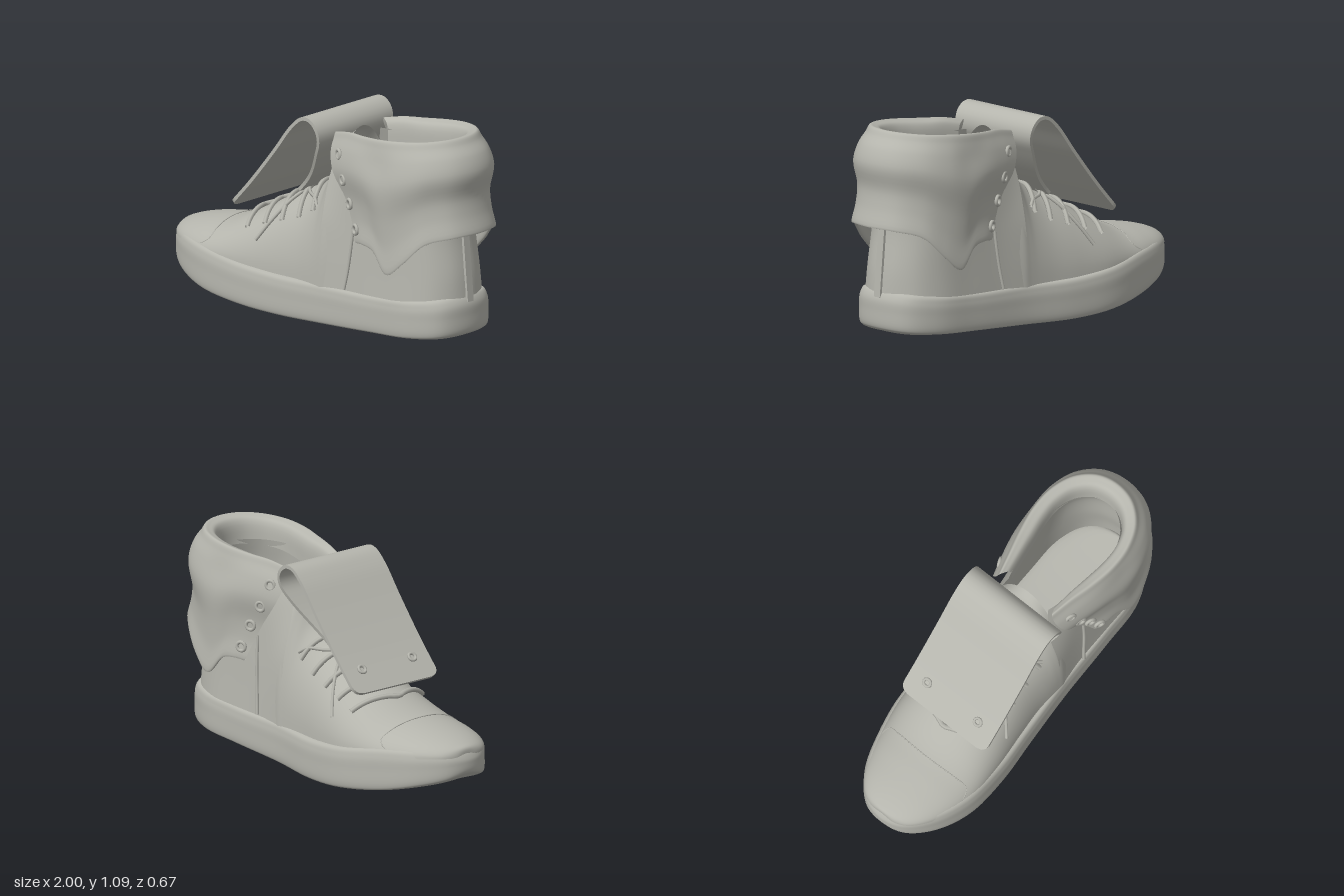
import * as THREE from 'three';
import { toCreasedNormals } from 'three/addons/utils/BufferGeometryUtils.js';

const V = (x, y, z) => new THREE.Vector3(x, y, z);
const canvas = new THREE.MeshStandardMaterial({ color: 0xb5b5ad, side: THREE.DoubleSide });
canvas.name = 'warm grey';

// Surface through rows of points
function grid(rows, closed = false) {
  const n = rows[0].length, idx = [];
  const geo = new THREE.BufferGeometry().setFromPoints(rows.flat());
  for (let i = 0; i < rows.length - 1; i++) {
    for (let j = 0; j < (closed ? n : n - 1); j++) {
      const a = i * n + j, b = i * n + (j + 1) % n;
      idx.push(a, b, b + n, a, b + n, a + n);
    }
  }
  geo.setIndex(idx);
  geo.computeVertexNormals();
  return geo;
}

// Smooth surface through a coarse net of points
function loft(keys, nu, nv, closed = false) {
  const cols = closed ? nu : nu + 1;
  const dense = keys.map(row => {
    const c = new THREE.CatmullRomCurve3(row, closed);
    return Array.from({ length: cols }, (_, j) => c.getPoint(j / nu));
  });
  const columns = dense[0].map((_, j) => new THREE.CatmullRomCurve3(dense.map(r => r[j])).getPoints(nv));
  return grid(Array.from({ length: nv + 1 }, (_, i) => columns.map(c => c[i])), closed);
}

// Completes a half outline that ends on the centre plane
const mirror = (half, closed = false) =>
  half.concat(half.slice(closed ? 1 : 0, -1).reverse().map(p => V(p.x, p.y, -p.z)));

const tube = (pts, r, n = 24) => new THREE.TubeGeometry(new THREE.CatmullRomCurve3(pts), n, r, 6);

// Sideways curve of the foot: the toe leans to +z, the ball to -z
const lean = x => .018 * THREE.MathUtils.smoothstep(-x, .3, .75)
  - .012 * THREE.MathUtils.smoothstep(-x, -.15, .15) * (1 - THREE.MathUtils.smoothstep(-x, .3, .6));

// Vamp stations: x, half width, base height, crest height
const VAMP = [[-.982, .07, .25, .29], [-.95, .14, .25, .308], [-.87, .208, .245, .333], [-.75, .262, .23, .357],
  [-.6, .296, .215, .384], [-.4, .307, .2, .48], [-.2, .287, .19, .588], [-.04, .268, .19, .666],
  [.06, .265, .19, .76], [.11, .265, .19, .87], [.15, .265, .19, .96], [.19, .255, .19, 1.0]];

function onVamp(x, deg, lift = 0) {
  let i = 0;
  while (i < VAMP.length - 2 && VAMP[i + 1][0] < x) i++;
  const t = (x - VAMP[i][0]) / (VAMP[i + 1][0] - VAMP[i][0]);
  const [w, y0, h] = [1, 2, 3].map(k => THREE.MathUtils.lerp(VAMP[i][k], VAMP[i + 1][k], t));
  const a = THREE.MathUtils.degToRad(deg);
  return V(x, y0 + (h - y0 + lift) * Math.sin(a), (w + lift) * Math.cos(a) + lean(x));
}

function soleGeometry() {
  // x, half width, bottom height, top height
  const plan = [[-1, 0, .15, .275], [-.97, .115, .125, .28], [-.85, .225, .09, .278], [-.65, .3, .045, .26],
    [-.4, .33, .015, .225], [-.15, .31, .002, .205], [.15, .275, .01, .208], [.5, .265, .03, .218],
    [.75, .25, .045, .238], [.9, .17, .055, .255], [.945, 0, .06, .26]];
  const ring = (inset, zScale, height) => mirror(plan.map(([x, z, b, t]) =>
    V(x * (1 - inset) - .02 * inset, height(b, t), z * zScale)), true).map(p => V(p.x, p.y, p.z + lean(p.x)));
  return loft([
    ring(.03, 0, b => b), ring(.025, .955, b => b), ring(.005, .992, b => b + .018),
    ring(0, 1, (b, t) => (b + t) / 2), ring(.003, .99, (b, t) => t - .038),
    ring(.025, .935, (b, t) => t), ring(.05, 0, (b, t) => t),
  ], 96, 36, true);
}

function vampGeometry() {
  const rows = VAMP.map(([x]) => Array.from({ length: 17 }, (_, k) => onVamp(x, 180 - k * 11.25)));
  rows.unshift(rows[0].map(() => V(-.985, .25, lean(-1))));
  return loft(rows, 40, 60);
}

function shaftGeometry() {
  const levels = [
    [.19, [.135, .265], [.3, .251], [.5, .25], [.7, .245], [.84, .19], [.91, .1], [.932, 0]],
    [.36, [.135, .256], [.3, .24], [.5, .237], [.7, .232], [.83, .18], [.9, .094], [.918, 0]],
    [.55, [.135, .236], [.3, .225], [.5, .225], [.7, .22], [.81, .17], [.872, .09], [.89, 0]],
    [.8, [.14, .172], [.3, .2], [.5, .205], [.7, .2], [.8, .15], [.855, .08], [.872, 0]],
    [.96, [.19, .13], [.3, .16], [.42, .18], [.6, .19], [.73, .15], [.8, .08], [.83, 0]]];
  return loft(levels.map(([y, ...pts]) => mirror(pts.map(([x, z]) => V(x, y, z)))), 60, 24);
}

// Folded cuff: each column runs from a rim point to a hem point
function cuffGeometry() {
  const cols = [[.16, .175, .995, .4, .27, .485], [.28, .205, 1.02, .46, .285, .49], [.4, .238, 1.03, .54, .295, .475],
    [.55, .265, 1.045, .645, .308, .375], [.68, .256, 1.058, .75, .295, .45], [.8, .205, 1.068, .86, .25, .56],
    [.88, .112, 1.076, .965, .15, .595], [.905, 0, 1.078, 1.0, 0, .6]];
  // blend from rim to hem, push at the ends, push at the sides, rise
  const profile = [[1, -.02, -.02, .06], [1, -.012, -.012, .003], [1, 0, 0, 0], [.8, -.004, .002, 0], [.6, .004, .016, 0],
    [.35, .05, .034, 0], [.17, .04, .014, 0], [.05, .01, .002, -.005], [0, -.01, -.01, .005], [0, -.035, -.035, 0],
    [0, -.06, -.06, -.012], [0, -.075, -.075, -.045], [0, -.08, -.08, -.14]];
  const rows = profile.map(([v, endPush, sidePush, rise]) => mirror(cols.map(c => {
    const [x, z, y] = [0, 1, 2].map(k => THREE.MathUtils.lerp(c[k], c[k + 3], v));
    const out = V(x - .55, 0, z).normalize();
    out.multiplyScalar(THREE.MathUtils.lerp(sidePush, endPush, Math.abs(out.x)));
    return V(x + out.x, y + rise, z + out.z);
  })));
  return loft(rows, 90, 60);
}

// Tongue folded over and hanging forward as a broad flap
function flapGeometry() {
  const path = new THREE.CatmullRomCurve3([[-.475, .505], [-.33, .66], [-.17, .85], [-.05, 1.0], [.02, 1.055],
    [.075, 1.055], [.12, 1.01], [.125, .95], [.08, .87], [-.02, .74], [-.14, .62]].map(([x, y]) => V(x, y, 0)));
  const rows = [], N = 70, th = .009, r = .05;
  for (let i = 0; i <= N; i++) {
    const t = (i / N) ** 1.2, p = path.getPointAt(t), d = path.getTangentAt(t);
    const gap = Math.max(0, r - t * path.getLength());
    const narrow = THREE.MathUtils.smoothstep(t, .62, 1) * .15;
    const w = .275 - r + Math.sqrt(r * r - gap * gap) - narrow;
    const at = (z, s) => V(p.x - d.y * s, p.y + d.x * s, z - .008);
    const row = [at(-w, th), at(w, th), at(w, -th), at(-w, -th)];
    if (i === 0) rows.push(row.map(q => V(p.x, p.y, q.z)));
    rows.push(row);
    if (i === N) rows.push(row.map(q => V(p.x, p.y, q.z)));
  }
  return toCreasedNormals(grid(rows, true), .6);
}

export function createModel() {
  const shoe = new THREE.Group();
  shoe.name = 'highTopShoe';
  const add = (name, geo) => {
    const m = new THREE.Mesh(geo, canvas);
    m.name = name;
    shoe.add(m);
    return m;
  };

  add('sole', soleGeometry());
  add('vamp', vampGeometry());
  add('ankleShaft', shaftGeometry());
  add('foldedCuff', cuffGeometry());
  add('tongueFlap', flapGeometry());

  // Toe cap seam
  const seam = [[-.82, 22], [-.68, 16], [-.62, 30], [-.625, 50], [-.635, 70]];
  const seamBack = seam.map(([x, a]) => [x, 180 - a]).reverse();
  add('toeCapSeam', tube([...seam, [-.64, 90], ...seamBack].map(([x, a]) => onVamp(x, a)), .003, 60));

  // Laces crossing the vamp
  for (const x of [-.48, -.37, -.26, -.15, -.05]) {
    const pts = [];
    for (let a = 42; a <= 138; a += 8) pts.push(onVamp(x + .09 * Math.abs(a - 90) / 50, a, .01));
    add('laceRung', tube(pts, .013));
  }
  for (const s of [1, -1]) {
    const draped = pts => pts.map(([x, a]) => onVamp(x, 90 - s * (90 - a), .014));
    // Loose lace ends and bow loops
    add('laceEnd', tube(draped([[-.12, 82], [-.18, 62], [-.24, 44], [-.3, 27]]), .009));
    add('laceLoop', tube(draped([[-.14, 80], [-.06, 64], [.02, 52], [.06, 44]]), .009));
    // Side cords hanging below the cuff
    add('sideCord', tube([[.35, .62, .225], [.34, .45, .24], [.325, .32, .25], [.31, .22, .262]]
      .map(([x, y, z]) => V(x, y, z * s)), .008));
    // Cuff eyelets
    for (const [x, y, z] of [[.245, .91, .232], [.295, .79, .255], [.355, .68, .27], [.41, .56, .284]]) {
      const eyelet = add('cuffEyelet', new THREE.TorusGeometry(.023, .009, 8, 20));
      eyelet.position.set(x, y, z * s);
      eyelet.rotation.y = -.4 * s;
    }
    // Flap eyelets
    const ring = add('flapEyelet', new THREE.TorusGeometry(.02, .008, 8, 20));
    ring.position.set(-.398, .606, .165 * s - .008);
    ring.rotation.set(Math.PI / 2, .8, 0);
  }

  // Heel strip
  const strip = add('heelStrip', new THREE.BoxGeometry(.014, .38, .042));
  strip.position.set(.918, .42, 0);
  strip.rotation.z = .09;
  return shoe;
}
